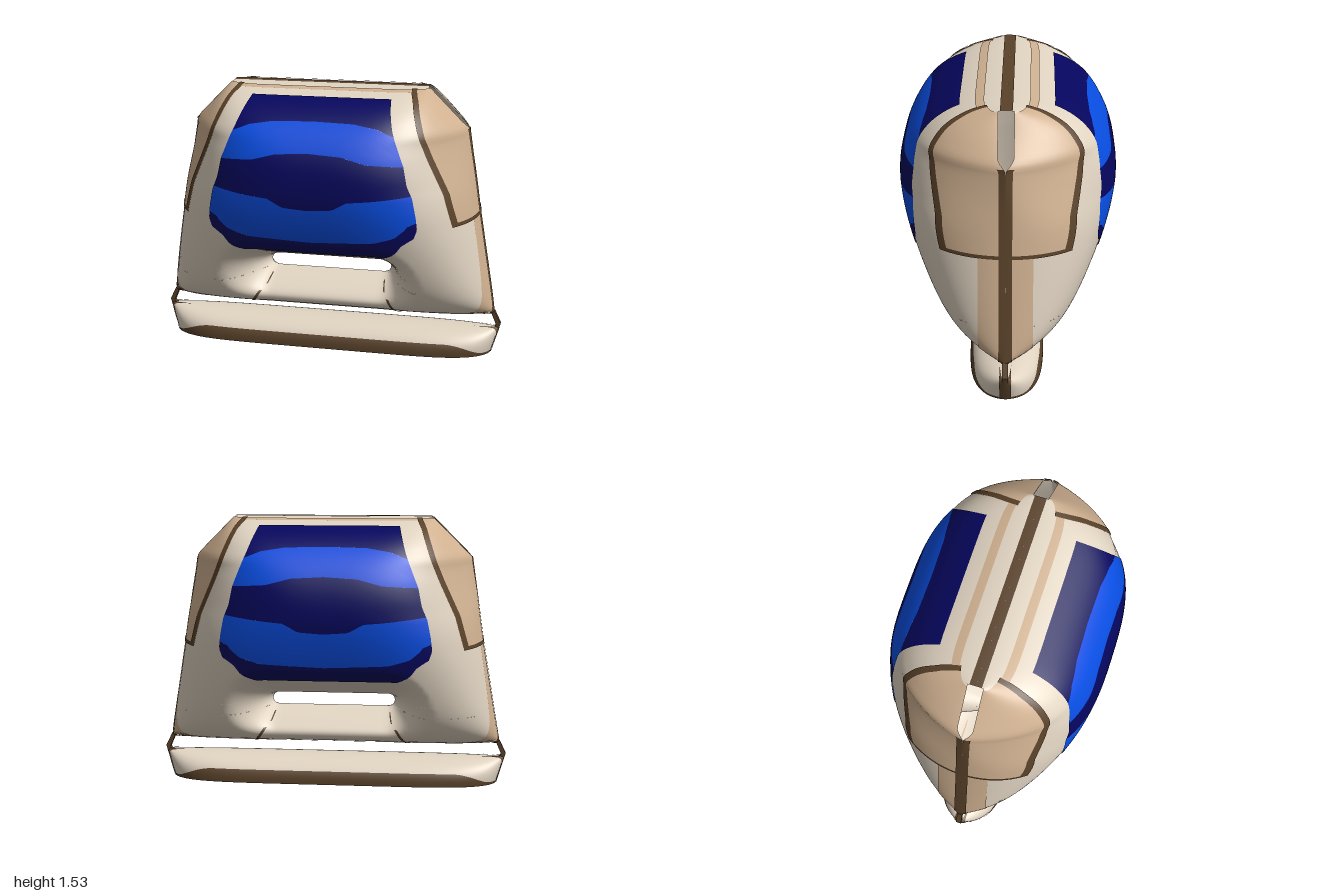
import * as THREE from 'three';

const mat = (name, color) => {
  const m = new THREE.MeshStandardMaterial({ color, side: THREE.DoubleSide });
  m.name = name;
  return m;
};

const { clamp, lerp, smoothstep } = THREE.MathUtils;

// piecewise linear lookup through [key, value] pairs with rising keys
const table = (pts) => (k) => {
  if (k <= pts[0][0]) return pts[0][1];
  for (let i = 1; i < pts.length; i++) {
    const [a, va] = pts[i - 1], [b, vb] = pts[i];
    if (k <= b) return lerp(va, vb, (k - a) / (b - a));
  }
  return pts[pts.length - 1][1];
};

// the same lookup with its corners rounded off
const softTable = (pts) => {
  const t = table(pts), steps = [-0.06, -0.04, -0.02, 0, 0.02, 0.04, 0.06];
  return (k) => steps.reduce((sum, d) => sum + t(k + d), 0) / steps.length;
};

const TOP = 1.525, BOTTOM = 0.23;
const SLOT = { y: 0.465, r: 0.035, half: 0.32 };

// inflated body: half width, centre depth, and the shape (1 - u^power)^taper of each level
const body = {
  width: table([[0.23, 0.955], [0.82, 0.855], [1.3, 0.785], [TOP, 0.56]]),
  depth: (y) => {
    if (y >= 1) return 0.6 * Math.sqrt(Math.max(0, 1 - ((y - 1) / (TOP - 1)) ** 2.3));
    const s = clamp((1 - y) / (1 - BOTTOM), 0, 1);
    return 0.6 * (1 - 0.52 * s ** 1.5) * Math.sqrt(1 - s ** 12);
  },
  power: softTable([[0.3, 5.2], [0.6, 4.1], [0.82, 3.4], [1, 2.8], [1.2, 3.5], [1.3, 4], [1.42, 6], [TOP, 10]]),
  taper: softTable([[0.9, 0.5], [1, 0.52], [1.2, 0.78], [1.3, 0.86], [1.42, 0.75], [TOP, 0.55]]),
  gap: (y) => 0.042 * smoothstep(y, 1.28, 1.34), // open upper corners
  pinch: (x, y) => {
    const d = Math.hypot(Math.max(0, Math.abs(x) - SLOT.half), y - SLOT.y) - SLOT.r;
    return Math.sin(Math.PI / 2 * clamp(d / 0.23, 0, 1));
  },
};

// half-pipe cushion under the body
const base = {
  width: (y) => 0.945 + 0.3 * y,
  depth: (y) => 0.205 * Math.sqrt(Math.max(0, 1 - (y / 0.145) ** 2.6)),
  power: () => 6,
  taper: () => 0.5,
  gap: () => 0,
  pinch: () => 1,
};

function depthAt(s, x, y) {
  const c = s.depth(y), u = Math.min(1, Math.abs(x) / s.width(y));
  const g = Math.min(s.gap(y), c);
  return (g + (c - g) * (1 - u ** s.power(y)) ** s.taper(y)) * s.pinch(x, y);
}

// x where the surface of one level comes down to depth z
const xAtDepth = (s, z) => (y) => {
  const w = Math.min(1, z / Math.max(1e-6, s.depth(y)));
  return s.width(y) * (1 - w ** (1 / s.taper(y))) ** (1 / s.power(y));
};

const fn = (v) => (typeof v === 'function' ? v : () => v);

// curved panel lying on a surface, between two heights and two side edges
function panel(s, { lo, hi, left, right, nx = 24, ny = 30, offset = 0 }) {
  [lo, hi, left, right] = [lo, hi, left, right].map(fn);
  const pos = [], index = [];
  for (let j = 0; j <= ny; j++) {
    const k = 0.5 - 0.5 * Math.cos(Math.PI * j / ny);
    for (let i = 0; i <= nx; i++) {
      const f = i / nx;
      const y = lerp(lo(f * 2 - 1), hi(f * 2 - 1), k), w = s.width(y);
      const a = Math.asin(clamp(left(y) / w, -1, 1)), b = Math.asin(clamp(right(y) / w, -1, 1));
      const x = w * Math.sin(lerp(a, b, f));
      pos.push(x, y, depthAt(s, x, y));
      if (i < nx && j < ny) {
        const p = j * (nx + 1) + i, q = p + nx + 1;
        index.push(p, p + 1, q, p + 1, q + 1, q);
      }
    }
  }
  const g = new THREE.BufferGeometry();
  g.setAttribute('position', new THREE.Float32BufferAttribute(pos, 3));
  g.setIndex(index);
  g.computeVertexNormals();
  const P = g.attributes.position, N = g.attributes.normal;
  for (let i = 0; i < P.count; i++) {
    P.setXYZ(i, P.getX(i) + N.getX(i) * offset, P.getY(i) + N.getY(i) * offset, P.getZ(i) + N.getZ(i) * offset);
  }
  return g;
}

export function createModel() {
  const cream = mat('cream', 0xe1d4c2);
  const tan = mat('tan', 0xd0b191);
  const brown = mat('brown', 0x5a422a);
  const navy = mat('navy', 0x06065f);
  const blue = mat('blue', 0x084de1);

  function buildHalf(name) {
    const half = new THREE.Group();
    half.name = name;
    const add = (label, s, material, opts) => {
      const m = new THREE.Mesh(panel(s, opts), material);
      m.name = label;
      half.add(m);
    };
    // same panel on the left and the right of the half
    const addPair = (label, s, material, o) => {
      const l = fn(o.left), r = fn(o.right);
      add('left' + label, s, material, o);
      add('right' + label, s, material, { ...o, left: (y) => -r(y), right: (y) => -l(y) });
    };

    // shell around the handle slot
    const W = body.width, slotLow = SLOT.y - SLOT.r, slotHigh = SLOT.y + SLOT.r;
    const slotEdge = (y) => SLOT.half + Math.sqrt(Math.max(0, SLOT.r ** 2 - (y - SLOT.y) ** 2));
    const full = { left: (y) => -W(y), right: W, nx: 100 };
    add('lowerShell', body, cream, { lo: BOTTOM, hi: slotLow, ...full, ny: 28 });
    addPair('SlotShell', body, cream, { lo: slotLow, hi: slotHigh, left: slotEdge, right: W, ny: 14 });
    add('upperShell', body, cream, { lo: slotHigh, hi: TOP, ...full, ny: 80 });

    // striped blue front, with the same stripes on the inside
    const edge = table([[0.65, 0.385], [0.69, 0.46], [0.745, 0.5], [0.78, 0.56], [0.83, 0.578], [0.9, 0.57],
      [1.0, 0.55], [1.07, 0.52], [1.17, 0.5], [1.35, 0.43], [1.48, 0.39]]);
    const bound = (pts) => { const t = table(pts); return (f) => t(Math.abs(f)); };
    const levels = [
      () => 0.65,
      bound([[0, 0.74], [0.65, 0.755], [0.8, 0.79], [0.9, 0.85], [1, 0.87]]),
      bound([[0, 0.93], [0.22, 0.94], [0.36, 0.985], [0.6, 0.995], [1, 1.015]]),
      bound([[0, 1.23], [0.35, 1.22], [0.6, 1.185], [1, 1.17]]),
      bound([[0, 1.38], [0.5, 1.375], [0.8, 1.355], [1, 1.32]]),
      () => 1.482,
    ];
    for (let i = 0; i < 5; i++) {
      const stripe = { lo: levels[i], hi: levels[i + 1], left: (y) => -edge(y), right: edge };
      const color = i % 2 ? blue : navy;
      add('stripe' + (i + 1), body, color, { ...stripe, nx: 60, ny: 16, offset: 0.005 });
      add('innerStripe' + (i + 1), body, color, { ...stripe, ny: 8, offset: -0.009 });
    }

    // shoulder panels with brown piping
    const inner = table([[0.82, 0.745], [1.0, 0.695], [1.2, 0.605], [1.3, 0.565], [1.47, 0.505], [1.52, 0.475]]);
    const pipe = (y) => inner(y) + 0.028;
    addPair('ShoulderPanel', body, tan, { lo: 0.82, hi: 1.517, left: inner, right: W, nx: 30, ny: 50, offset: 0.004 });
    addPair('ShoulderPiping', body, brown, { lo: 0.815, hi: 1.517, left: inner, right: pipe, nx: 6, ny: 50, offset: 0.007 });
    addPair('ShoulderHem', body, brown, { lo: 0.815, hi: 0.835, left: inner, right: xAtDepth(body, 0.03), ny: 4, offset: 0.007 });

    // tan side strips, seams and top trim
    addPair('SideStrip', body, tan, { lo: 0.24, hi: 0.82, left: xAtDepth(body, 0.145), right: W, nx: 14, offset: 0.003 });
    addPair('SideSeam', body, brown, { lo: 0.231, hi: 1.3, left: xAtDepth(body, 0.035), right: W, nx: 6, offset: 0.007 });
    add('topTrim', body, tan, { lo: 1.506, hi: 1.5155, left: -0.5, right: 0.5, ny: 6, offset: 0.004 });
    add('topSeam', body, brown, { lo: 1.5243, hi: TOP, left: -0.56, right: 0.56, ny: 4, offset: 0.004 });
    add('bottomSeam', body, brown, { lo: BOTTOM, hi: 0.2303, ...full, ny: 4, offset: 0.002 });
    add('innerBottomSeam', body, brown, { lo: BOTTOM, hi: 0.231, ...full, ny: 4, offset: -0.006 });

    // seams running down from the slot corners
    const crease = table([[0.235, 0.435], [0.33, 0.365], [0.36, 0.34], [0.4, 0.328]]);
    const creasePair = (label, lo, hi, width) => addPair(label, body, brown, {
      lo, hi, left: crease, right: (y) => crease(y) + width, nx: 3, ny: 12, offset: 0.005,
    });
    creasePair('HandleSeam', 0.235, 0.33, 0.018);
    creasePair('HandleStitch', 0.355, 0.4, 0.008);

    // base cushion with dark rim outside and inside
    const B = base.width, baseFull = { left: (y) => -B(y), right: B, nx: 80 };
    const rim = (f) => 0.015 + 0.057 * (1 - smoothstep(Math.abs(f), 0.5, 0.82));
    add('baseCushion', base, cream, { lo: 0, hi: 0.145, ...baseFull, ny: 28 });
    add('baseRim', base, brown, { lo: 0, hi: rim, ...baseFull, ny: 10, offset: 0.004 });
    add('baseRimInside', base, brown, { lo: 0, hi: rim, ...baseFull, ny: 10, offset: -0.004 });
    addPair('BaseSeam', base, brown, { lo: 0, hi: 0.143, left: xAtDepth(base, 0.03), right: B, nx: 5, ny: 16, offset: 0.005 });
    return half;
  }

  const model = new THREE.Group();
  model.name = 'inflatedBag';
  const front = buildHalf('frontHalf');
  const back = buildHalf('backHalf');
  back.rotation.y = Math.PI;
  model.add(front, back);

  // narrow links joining the base to the body
  const link = new THREE.Shape([[0.94, 0.235], [0.972, 0.16], [0.96, 0.135], [0.985, 0.12], [0.998, 0.165], [0.962, 0.24]]
    .map(([x, y]) => new THREE.Vector2(x, y)));
  for (const side of [0, 1]) {
    const m = new THREE.Mesh(new THREE.ExtrudeGeometry(link, { depth: 0.03, bevelEnabled: false }).translate(0, 0, -0.015), brown);
    m.name = side ? 'rightLink' : 'leftLink';
    m.rotation.y = side * Math.PI;
    model.add(m);
  }
  return model;
}
